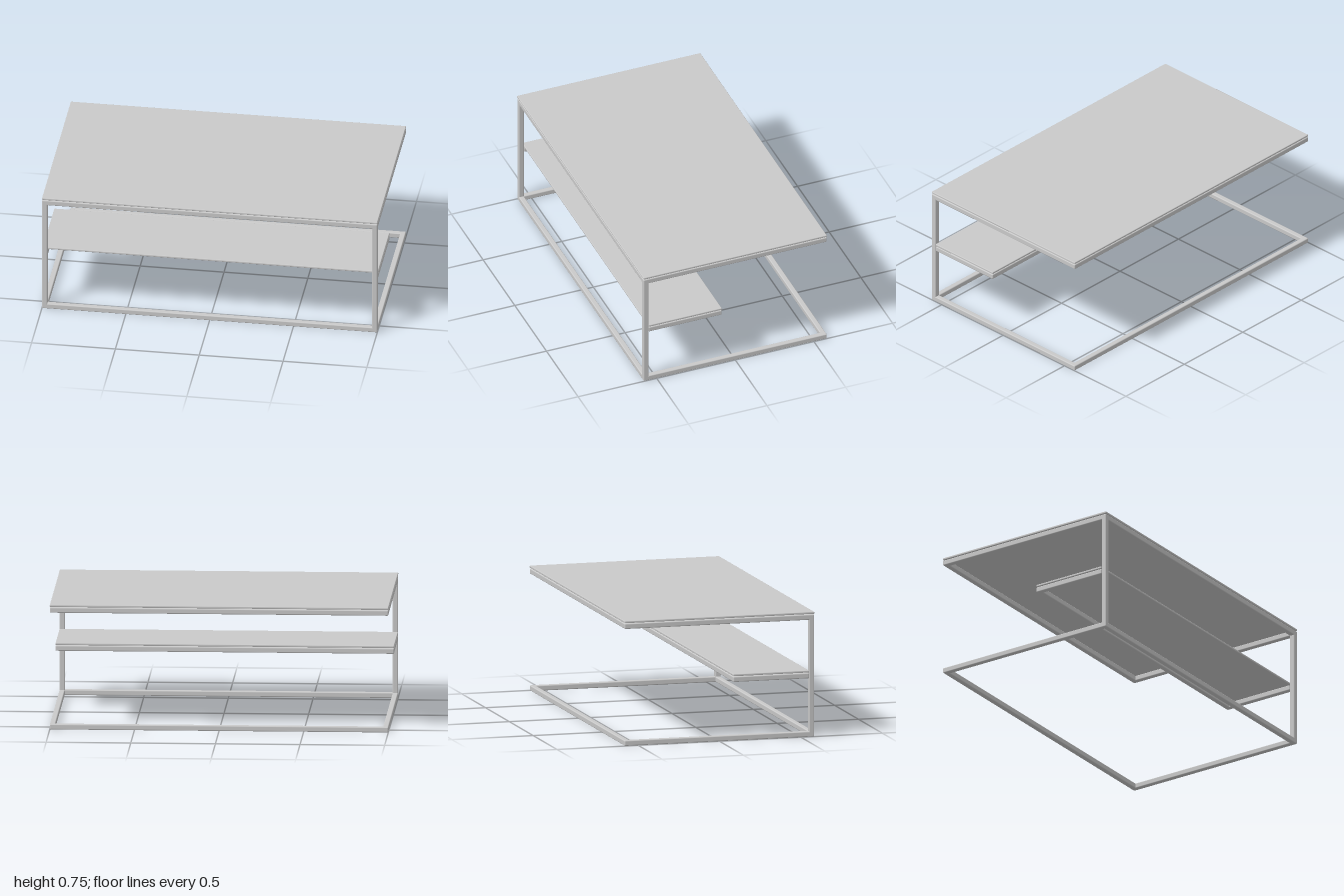
import * as THREE from 'three';
import { RoundedBoxGeometry } from 'three/addons/geometries/RoundedBoxGeometry.js';

const HALF_W = 1, HALF_D = 0.583;   // footprint
const TUBE = 0.032;                 // square tube
const TOP_RAIL = 0.7, SHELF_RAIL = 0.35, GAP = 0.003, SLAB = 0.013;

export function createModel() {
  const model = new THREE.Group();
  model.name = 'coffeeTable';
  const grey = new THREE.MeshStandardMaterial({ color: 0xc9c9c9 });
  grey.name = 'grey';

  // Box with softened edges between two opposite corners
  function bar(name, [x0, y0, z0], [x1, y1, z1], radius) {
    const geo = new RoundedBoxGeometry(x1 - x0, y1 - y0, z1 - z0, 3, radius);
    const mesh = new THREE.Mesh(geo, grey);
    mesh.name = name;
    mesh.position.set((x0 + x1) / 2, (y0 + y1) / 2, (z0 + z1) / 2);
    model.add(mesh);
  }
  const tube = (name, a, b) => bar(name, a, b, 0.006);
  const slab = (name, y, z0, z1) => bar(name, [-HALF_W, y, z0], [HALF_W, y + SLAB, z1], 0.004);

  // Rail running the full width, with its lower back edge at y, z
  const crossRail = (name, y, z) => tube(name, [-HALF_W, y, z], [HALF_W, y + TUBE, z + TUBE]);
  // Mirrored pair of rails running front to back
  function sideRails(name, y, z0, z1) {
    for (const x of [-HALF_W, HALF_W - TUBE]) tube(name, [x, y, z0], [x + TUBE, y + TUBE, z1]);
  }

  // Floor and top frames
  for (const [name, y] of [['floor', 0], ['top', TOP_RAIL]]) {
    crossRail(name + 'FrontRail', y, HALF_D - TUBE);
    crossRail(name + 'BackRail', y, -HALF_D);
    sideRails(name + 'SideRail', y, -HALF_D, HALF_D);
  }

  // Front posts
  for (const x of [-HALF_W, HALF_W - TUBE]) {
    tube('frontPost', [x, 0, HALF_D - TUBE], [x + TUBE, TOP_RAIL + TUBE, HALF_D]);
  }

  // Shelf support behind the posts, open at the front
  const back = 0.085, front = HALF_D - TUBE;
  crossRail('shelfBackRail', SHELF_RAIL, back);
  sideRails('shelfSideRail', SHELF_RAIL, back, front);

  // Boards
  slab('tableTop', TOP_RAIL + TUBE + GAP, -HALF_D, HALF_D);
  slab('shelf', SHELF_RAIL + TUBE + GAP, back, front);

  return model;
}
